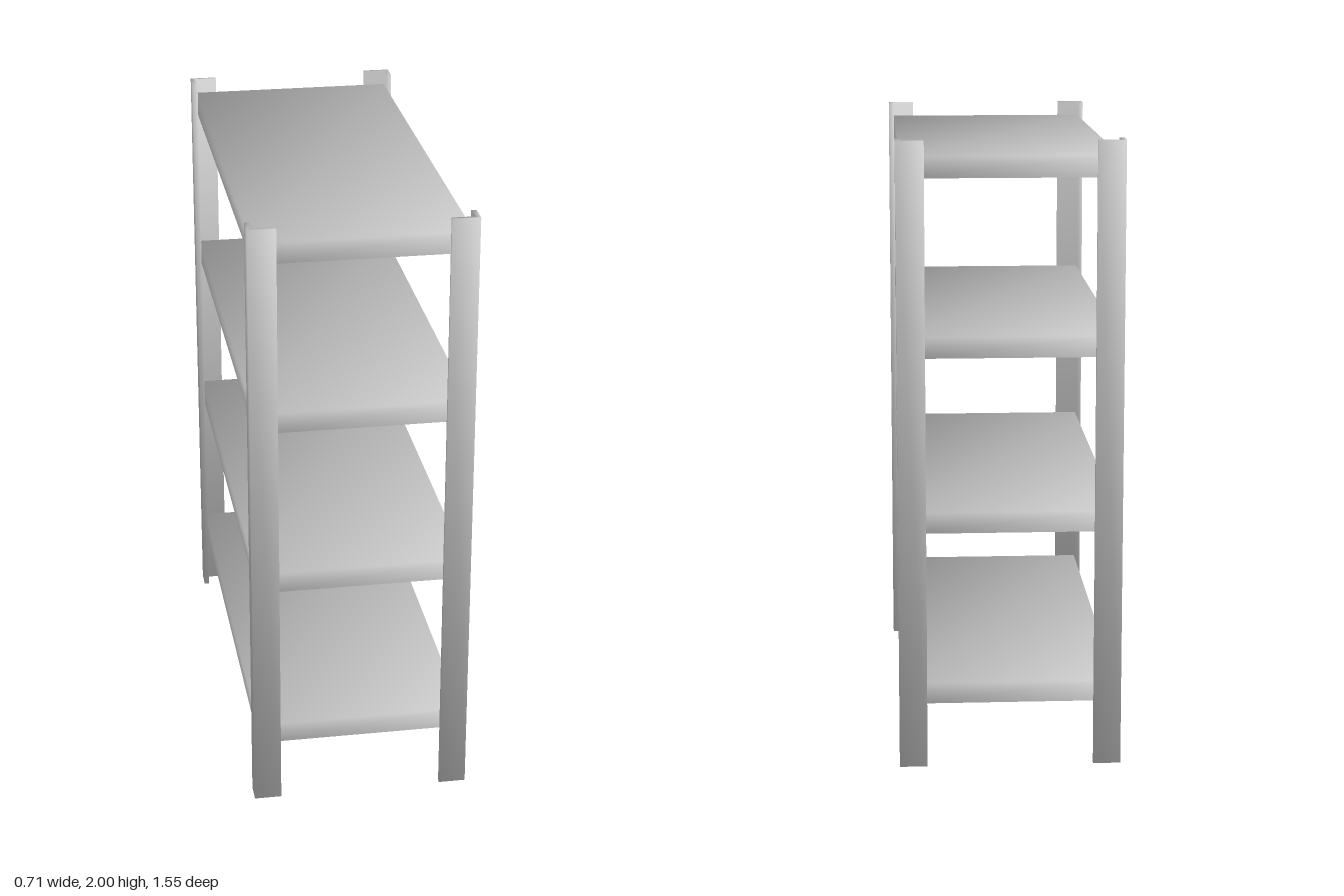
import * as THREE from 'three';

const postMaterial = new THREE.MeshStandardMaterial({ color: 0xcccccc });
const sheetMaterial = new THREE.MeshStandardMaterial({ color: 0xcccccc, side: THREE.DoubleSide });

// Blend the distinct face normals that meet at each corner, for soft shading.
function smoothCorners(source) {
  const geo = source.index ? source.toNonIndexed() : source;
  geo.computeVertexNormals();
  const pos = geo.attributes.position, nor = geo.attributes.normal;
  const key = (a, i) => [a.getX(i), a.getY(i), a.getZ(i)].map((v) => Math.round(v * 1e4)).join();
  const corners = new Map();
  for (let i = 0; i < pos.count; i++) {
    const k = key(pos, i);
    if (!corners.has(k)) corners.set(k, new Map());
    corners.get(k).set(key(nor, i), new THREE.Vector3().fromBufferAttribute(nor, i));
  }
  for (let i = 0; i < pos.count; i++) {
    const sum = new THREE.Vector3();
    corners.get(key(pos, i)).forEach((n) => sum.add(n));
    sum.normalize();
    nor.setXYZ(i, sum.x, sum.y, sum.z);
  }
  return geo;
}

const HEIGHT = 2, HALF_X = 0.354, HALF_Z = 0.774;
const FLANGE_X = 0.088, FLANGE_Z = 0.067, THICK_X = 0.017, THICK_Z = 0.013;
const SHELF_HEIGHT = 0.067, SHELF_TOP = 0.274, SHELF_STEP = 0.559;

// L-section upright, its outer corner at the rack's corner.
function makePost(sx, sz) {
  const x0 = HALF_X, z0 = HALF_Z;
  const section = [
    [x0, z0], [x0 - FLANGE_X, z0], [x0 - FLANGE_X, z0 - THICK_Z],
    [x0 - THICK_X, z0 - THICK_Z], [x0 - THICK_X, z0 - FLANGE_Z], [x0, z0 - FLANGE_Z],
  ].map(([x, z]) => new THREE.Vector2(x * sx, -z * sz));
  const geo = new THREE.ExtrudeGeometry(new THREE.Shape(section), { depth: HEIGHT, bevelEnabled: false });
  geo.rotateX(-Math.PI / 2);
  return new THREE.Mesh(smoothCorners(geo), postMaterial);
}

// Folded sheet tray: a top with four turned-down edges, open underneath.
function makeTrayGeometry() {
  const box = new THREE.BoxGeometry(2 * (HALF_X - THICK_X), SHELF_HEIGHT, 2 * (HALF_Z - THICK_Z));
  const bottom = box.groups[3];
  box.setIndex(Array.from(box.index.array).filter(
    (_, i) => i < bottom.start || i >= bottom.start + bottom.count));
  box.clearGroups();
  return smoothCorners(box);
}

export function createModel() {
  const rack = new THREE.Group();
  rack.name = 'shelvingRack';

  // Four corner posts
  for (const sx of [-1, 1]) {
    for (const sz of [-1, 1]) {
      const post = makePost(sx, sz);
      post.name = `${sz > 0 ? 'front' : 'back'}${sx > 0 ? 'Left' : 'Right'}Post`;
      rack.add(post);
    }
  }

  // Four evenly spaced shelves set inside the posts
  const trayGeo = makeTrayGeometry();
  for (let i = 0; i < 4; i++) {
    const shelf = new THREE.Mesh(trayGeo, sheetMaterial);
    shelf.name = `shelf${i + 1}`;
    shelf.position.y = SHELF_TOP - SHELF_HEIGHT / 2 + i * SHELF_STEP;
    rack.add(shelf);
  }
  return rack;
}
